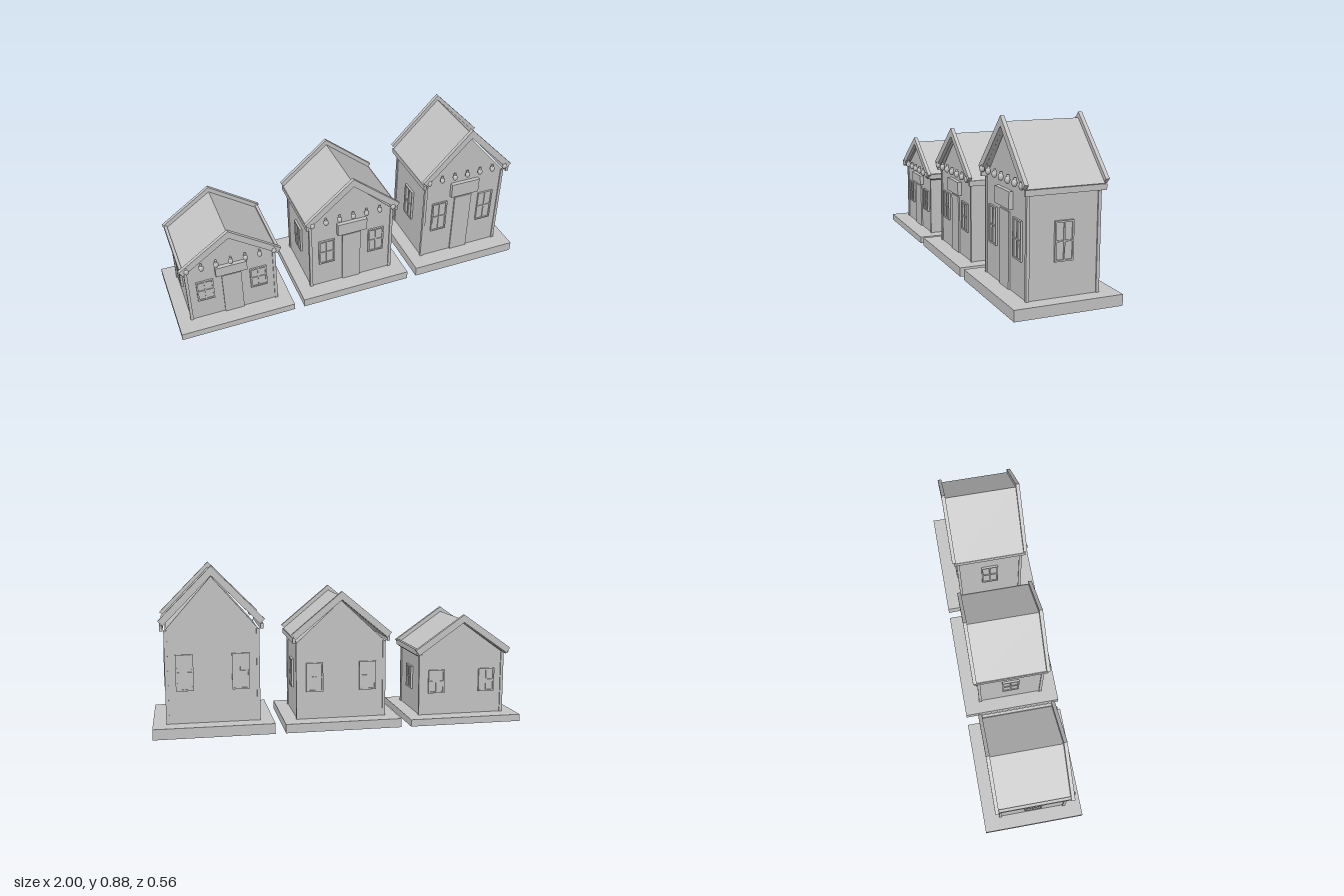
import * as THREE from 'three';

const grey = new THREE.MeshStandardMaterial({ color: 0xc4c4c4 });
grey.name = 'plain grey';

function add(parent, name, geometry, x = 0, y = 0, z = 0) {
  const mesh = new THREE.Mesh(geometry, grey);
  mesh.name = name;
  mesh.position.set(x, y, z);
  parent.add(mesh);
  return mesh;
}

const box = (w, h, d) => new THREE.BoxGeometry(w, h, d);

// Outline in x and y, pushed along z between two depths
function prism(points, z0, z1) {
  const shape = new THREE.Shape(points.map(([x, y]) => new THREE.Vector2(x, y)));
  return new THREE.ExtrudeGeometry(shape, { depth: z1 - z0, bevelEnabled: false }).translate(0, 0, z0);
}

// Window facing +z with its back on z = 0
function makeWindow(w, h) {
  const g = new THREE.Group();
  g.name = 'window';
  const b = 0.008;
  add(g, 'pane', box(w, h, 0.006), 0, 0, 0.001);
  for (const s of [-1, 1]) {
    add(g, 'frameSide', box(b, h, 0.01), s * (w - b) / 2, 0, 0.005);
    add(g, 'frameRail', box(w, b, 0.01), 0, s * (h - b) / 2, 0.005);
  }
  add(g, 'mullion', box(0.007, h - b, 0.009), 0, 0, 0.0045);
  add(g, 'transom', box(w - b, 0.007, 0.009), 0, 0, 0.0045);
  return g;
}

// Inverted V of even thickness across the slope, with ends cut square to it
function chevron(apex, slope, half, thick) {
  const len = Math.hypot(1, slope);
  const drop = thick * len;
  const nx = thick * slope / len, ny = thick / len;
  const y = apex - slope * half;
  return [[0, apex], [-half, y], [-half + nx, y - ny], [0, apex - drop],
    [half - nx, y - ny], [half, y]];
}

function makeHouse({ base, eave, apex, tip, door, sign, win, bulbs }) {
  const g = new THREE.Group();
  g.name = 'house';
  const slope = (apex - tip) / 0.273;
  const drop = 0.035 * Math.hypot(1, slope);

  // Base slab and walls with gables
  add(g, 'base', box(0.63, base, 0.556), 0, base / 2, 0);
  add(g, 'walls', prism([[-0.24, base], [0.24, base], [0.24, eave], [0, apex - drop - 0.005],
    [-0.24, eave]], -0.183, 0.183), 0, 0, 0);
  for (const x of [-1, 1]) {
    for (const z of [-1, 1]) {
      add(g, 'cornerPost', box(0.016, eave - base, 0.016), x * 0.238, (eave + base) / 2, z * 0.181);
    }
  }

  // Roof, raised verge boards and eave boards
  add(g, 'roof', prism(chevron(apex - 0.028, slope, 0.266, 0.016), -0.194, 0.194));
  for (const z of [-0.213, 0.193]) {
    add(g, 'vergeBoard', prism(chevron(apex, slope, 0.273, 0.035), z, z + 0.02));
  }
  for (const x of [-1, 1]) add(g, 'eaveBoard', box(0.016, 0.028, 0.41), x * 0.258, eave + 0.014, 0);

  // Door and sign board
  add(g, 'door', box(0.106, door - base, 0.012), 0, (door + base) / 2, 0.185);
  add(g, 'signBoard', box(0.17, sign[1] - sign[0], 0.024), 0, (sign[0] + sign[1]) / 2, 0.193);

  // Windows on all four walls
  const h = win[1] - win[0], wy = (win[0] + win[1]) / 2;
  for (const s of [-1, 1]) {
    for (const x of [-0.146, 0.146]) {
      const w = makeWindow(0.092, h);
      w.position.set(x, wy, s * 0.183);
      if (s < 0) w.rotation.y = Math.PI;
      g.add(w);
    }
    const side = makeWindow(0.096, h);
    side.position.set(s * 0.242, wy, 0);
    side.rotation.y = s * Math.PI / 2;
    g.add(side);
  }

  // Row of hanging bulbs
  for (let i = -3; i <= 3; i++) {
    const x = i * 0.078;
    add(g, 'bulb', new THREE.SphereGeometry(0.0135, 10, 8).scale(1, 1.4, 1), x, bulbs - 0.003, 0.209);
    add(g, 'bulbCap', new THREE.CylinderGeometry(0.007, 0.009, 0.014, 8), x, bulbs + 0.016, 0.207);
  }
  return g;
}

export function createModel() {
  const model = new THREE.Group();
  model.name = 'rowOfHouses';
  const houses = [
    { base: 0.038, eave: 0.378, apex: 0.597, tip: 0.406, door: 0.294, sign: [0.31, 0.366], win: [0.16, 0.289], bulbs: 0.403 },
    { base: 0.048, eave: 0.465, apex: 0.738, tip: 0.512, door: 0.364, sign: [0.38, 0.452], win: [0.198, 0.354], bulbs: 0.5 },
    { base: 0.056, eave: 0.55, apex: 0.88, tip: 0.602, door: 0.434, sign: [0.452, 0.537], win: [0.23, 0.422], bulbs: 0.595 },
  ];
  houses.forEach((spec, i) => {
    const house = makeHouse(spec);
    house.position.x = (i - 1) * 0.685;
    model.add(house);
  });
  return model;
}
